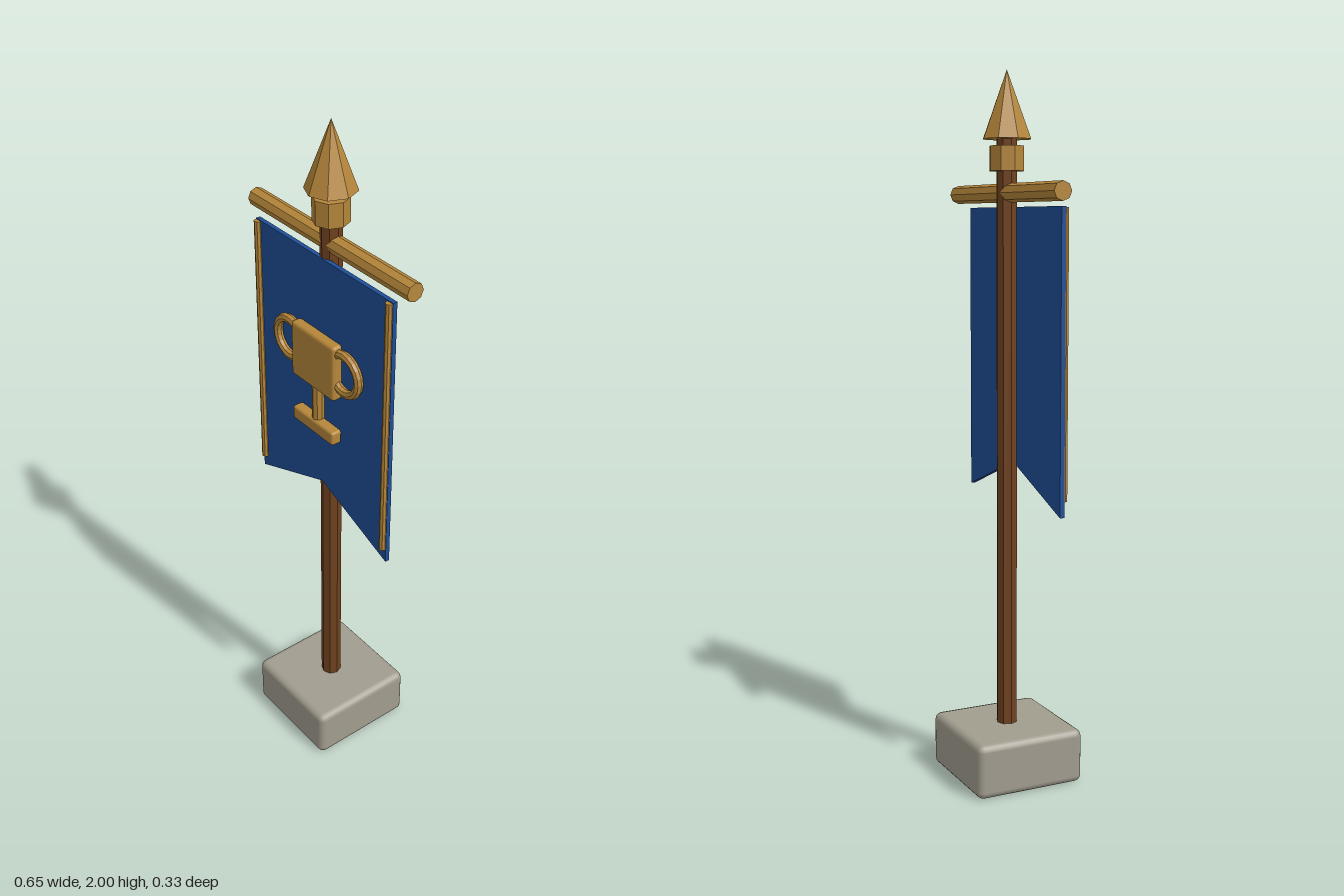
import * as THREE from 'three';
import { RoundedBoxGeometry } from 'three/addons/geometries/RoundedBoxGeometry.js';

export function createModel() {
  const model = new THREE.Group();
  model.name = 'bannerStand';

  const material = (name, color, flatShading = false) => {
    const m = new THREE.MeshStandardMaterial({ color, flatShading });
    m.name = name;
    return m;
  };
  const stone = material('stone', 0xa19c8e);
  const wood = material('wood', 0x70421f, true);
  const gold = material('gold', 0xb5863a, true);
  const blue = material('blue cloth', 0x1f4e96);

  const add = (name, geometry, mat, x, y, z, parent = model) => {
    const mesh = new THREE.Mesh(geometry, mat);
    mesh.name = name;
    mesh.position.set(x, y, z);
    parent.add(mesh);
    return mesh;
  };

  // Stone foot and wooden pole
  add('base', new RoundedBoxGeometry(0.326, 0.156, 0.326, 2, 0.02), stone, 0, 0.078, 0);
  add('pole', new THREE.CylinderGeometry(0.03, 0.03, 1.7, 8), wood, 0, 0.97, 0);

  // Collar and spear tip
  add('collar', new THREE.CylinderGeometry(0.05, 0.05, 0.068, 8), gold, 0, 1.763, 0);
  add('spearTip', new THREE.ConeGeometry(0.07, 0.185, 8), gold, 0, 1.9075, 0);

  // Crossbar
  add('crossbar', new THREE.CylinderGeometry(0.026, 0.026, 0.655, 8), gold, 0, 1.67, 0)
    .rotation.z = Math.PI / 2;

  // Swallow-tailed cloth
  const outline = new THREE.Shape([
    [-0.285, 1.632], [-0.285, 0.81], [0, 0.92], [0.285, 0.81], [0.285, 1.632],
  ].map(([x, y]) => new THREE.Vector2(x, y)));
  add('banner', new THREE.ExtrudeGeometry(outline, { depth: 0.013, bevelEnabled: false }),
    blue, 0, 0, 0.019);

  // Cup emblem
  const cup = new THREE.Group();
  cup.name = 'cupEmblem';
  model.add(cup);
  add('cupBowl', new RoundedBoxGeometry(0.184, 0.168, 0.034, 2, 0.01), gold, 0, 1.335, 0.049, cup);
  add('cupStem', new THREE.CylinderGeometry(0.017, 0.017, 0.13, 8), gold, 0, 1.195, 0.045, cup);
  add('cupFoot', new RoundedBoxGeometry(0.178, 0.042, 0.034, 2, 0.008), gold, 0, 1.126, 0.049, cup);

  // Mirrored side trims and cup handles
  for (const side of [-1, 1]) {
    add(side > 0 ? 'leftTrim' : 'rightTrim',
      new THREE.CylinderGeometry(0.0105, 0.0105, 0.777, 8), gold, side * 0.274, 1.241, 0.035);
    add(side > 0 ? 'leftHandle' : 'rightHandle',
      new THREE.TorusGeometry(0.057, 0.013, 8, 20), gold, side * 0.118, 1.346, 0.047, cup);
  }
  return model;
}
